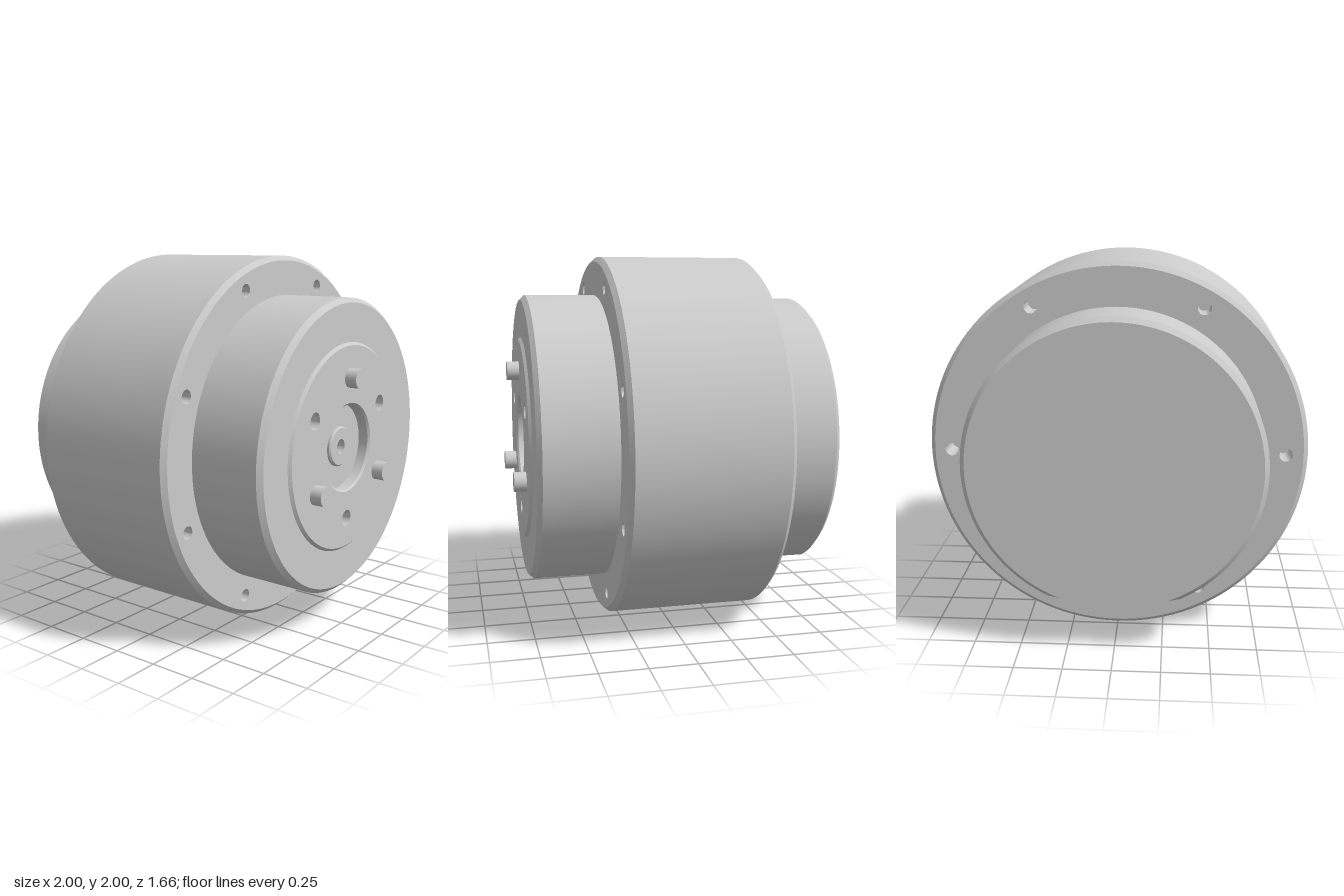
import * as THREE from 'three';
import { toCreasedNormals } from 'three/addons/utils/BufferGeometryUtils.js';

const SEG = 120;
const mat = new THREE.MeshStandardMaterial({ color: 0xcccccc });

export function createModel() {
  const model = new THREE.Group();
  const unit = new THREE.Group();
  unit.name = 'actuator';
  unit.position.y = 1;
  model.add(unit);

  const add = (name, geo) => {
    const mesh = new THREE.Mesh(geo, mat);
    mesh.name = name;
    unit.add(mesh);
    return mesh;
  };

  // Turned part about the z axis; profile of [radius, z] from back to front
  const turned = (profile, seg = SEG) => {
    const geo = new THREE.LatheGeometry(profile.map(([r, z]) => new THREE.Vector2(r, z)), seg);
    return toCreasedNormals(geo.rotateX(Math.PI / 2), 0.4);
  };

  // Points evenly spaced on a bolt circle
  const boltCircle = (count, radius, startDeg) =>
    Array.from({ length: count }, (_, i) => {
      const a = THREE.MathUtils.degToRad(startDeg + (360 / count) * i);
      return [radius * Math.cos(a), radius * Math.sin(a)];
    });

  // Flat round face with an open centre and blind holes
  const drilledFace = (name, outer, inner, z, holes, holeR, depth, back = false) => {
    const shape = new THREE.Shape().absarc(0, 0, outer, 0, Math.PI * 2);
    shape.holes.push(new THREE.Path().absarc(0, 0, inner, 0, Math.PI * 2, true));
    for (const [x, y] of holes) {
      shape.holes.push(new THREE.Path().absarc(x, y, holeR, 0, Math.PI * 2, true));
    }
    const face = add(name, new THREE.ShapeGeometry(shape, SEG));
    face.position.z = z;
    if (back) face.rotation.y = Math.PI;
    for (const [x, y] of holes) {
      const pocket = new THREE.Mesh(turned([[holeR, 0], [holeR, -depth], [0, -depth]], 32), mat);
      pocket.name = 'boltHole';
      pocket.position.set(x, y, 0);
      face.add(pocket);
    }
  };

  // Main housing with chamfered rims and drilled faces
  add('housing', turned([[0.975, -0.5], [1, -0.475], [1, 0.315], [0.975, 0.34]]));
  drilledFace('housingFrontFace', 0.975, 0.78, 0.34, boltCircle(8, 0.895, 22.5), 0.035, 0.15);
  drilledFace('housingBackFace', 0.975, 0.6, -0.5, boltCircle(6, 0.885, 0), 0.035, 0.15, true);

  // Front boss
  add('frontBoss', turned([[0.79, 0.33], [0.79, 0.725], [0.765, 0.75], [0.54, 0.75]]));

  // Output flange: rim, drilled face, central recess with hub
  add('flangeRim', turned([[0.56, 0.745], [0.56, 0.75], [0.545, 0.765]]));
  drilledFace('flangeFace', 0.545, 0.24, 0.765, boltCircle(3, 0.39, 30), 0.045, 0.12);
  add('flangeRecess', turned([
    [0.24, 0.765], [0.23, 0.755], [0.23, 0.7], [0.108, 0.7], [0.108, 0.712],
    [0.1, 0.72], [0.04, 0.72], [0.04, 0.65], [0, 0.65],
  ]));

  // Dowel pins
  for (const [x, y] of boltCircle(3, 0.375, 90)) {
    const pin = add('dowelPin', new THREE.CylinderGeometry(0.052, 0.052, 0.08, 40).rotateX(Math.PI / 2));
    pin.position.set(x, y, 0.79);
  }

  // Back cover: round section cut flat underneath, chamfered on the round rim
  const section = (r) => {
    const half = Math.acos(0.69 / r);
    return Array.from({ length: SEG + 1 }, (_, i) => {
      const a = -Math.PI / 2 + half + (2 * (Math.PI - half) * i) / SEG;
      return new THREE.Vector2(r * Math.cos(a), r * Math.sin(a));
    });
  };
  const rings = [[0.77, -0.49], [0.77, -0.805], [0.745, -0.83]];
  const pos = [], idx = [], n = SEG + 1;
  rings.forEach(([r, z], k) => {
    section(r).forEach((p, i) => {
      pos.push(p.x, p.y, z);
      if (k === rings.length - 1) return;
      const a = k * n + i, b = k * n + ((i + 1) % n);
      idx.push(a, a + n, b, b, a + n, b + n);
    });
  });
  const cover = new THREE.BufferGeometry();
  cover.setAttribute('position', new THREE.Float32BufferAttribute(pos, 3));
  cover.setIndex(idx);
  add('backCover', toCreasedNormals(cover, 0.4));
  const end = add('backCoverFace', new THREE.ShapeGeometry(new THREE.Shape(section(0.745))));
  end.rotation.y = Math.PI;
  end.position.z = -0.83;

  return model;
}
